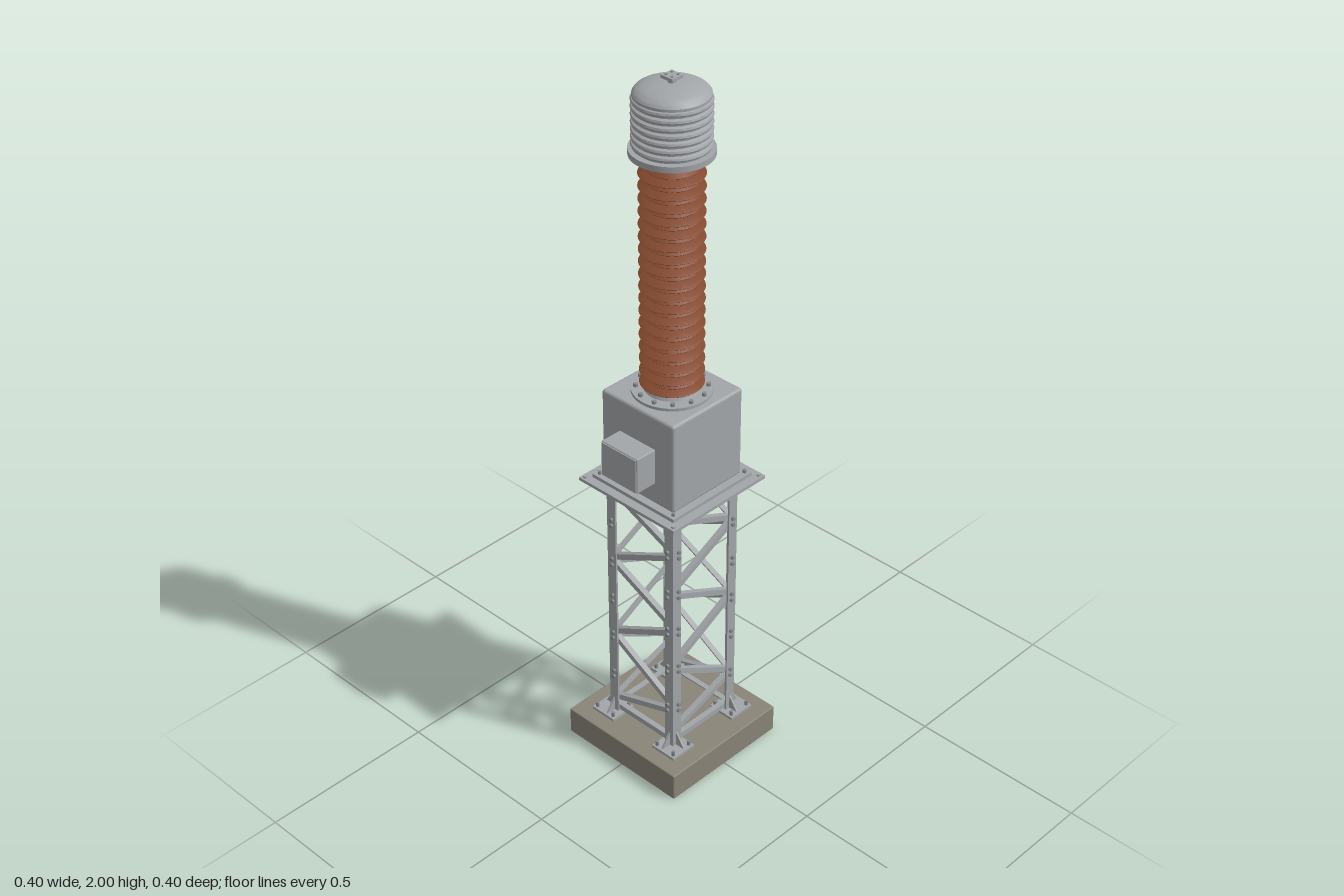
import * as THREE from 'three';
import { RoundedBoxGeometry } from 'three/addons/geometries/RoundedBoxGeometry.js';
import { toCreasedNormals } from 'three/addons/utils/BufferGeometryUtils.js';

const mat = (name, color) => Object.assign(new THREE.MeshStandardMaterial({ color }), { name });

export function createModel() {
  const steel = mat('galvanised steel', 0xa3a6a9);
  const boltSteel = mat('bolt steel', 0x85898c);
  const concrete = mat('concrete', 0x8a8478);
  const porcelain = mat('brown porcelain', 0x84492f);
  const model = new THREE.Group();
  model.name = 'instrumentTransformer';

  const group = (name) => {
    const g = new THREE.Group();
    g.name = name;
    model.add(g);
    return g;
  };
  const add = (parent, name, geo, m, x = 0, y = 0, z = 0) => {
    const mesh = new THREE.Mesh(geo, m);
    mesh.name = name;
    mesh.position.set(x, y, z);
    parent.add(mesh);
    return mesh;
  };
  const box = (p, name, w, h, d, m, x, y, z) => add(p, name, new THREE.BoxGeometry(w, h, d), m, x, y, z);
  const cyl = (p, name, r, h, m, x, y, z, n = 32) => add(p, name, new THREE.CylinderGeometry(r, r, h, n), m, x, y, z);
  const lathe = (p, name, pts, m) => add(p, name,
    toCreasedNormals(new THREE.LatheGeometry(pts.map(([r, y]) => new THREE.Vector2(r, y)), 48), 0.6), m);
  const corners = [[1, 1], [1, -1], [-1, 1], [-1, -1]];

  // Concrete foundation
  add(model, 'foundation', new RoundedBoxGeometry(0.4, 0.08, 0.4, 1, 0.003), concrete, 0, 0.04, 0);

  // Four angle-section legs with base plates, stiffeners and anchor bolts
  const s = new THREE.Shape();
  [[0, 0], [-0.03, 0], [-0.03, -0.005], [-0.005, -0.005], [-0.005, -0.03], [0, -0.03]]
    .forEach(([x, y], i) => (i ? s.lineTo(x, y) : s.moveTo(x, y)));
  const legGeo = new THREE.ExtrudeGeometry(s, { depth: 0.767, bevelEnabled: false });
  legGeo.rotateX(-Math.PI / 2);
  const rib = new THREE.Shape([new THREE.Vector2(0, 0), new THREE.Vector2(0.028, 0), new THREE.Vector2(0, 0.042)]);
  const ribGeo = new THREE.ExtrudeGeometry(rib, { depth: 0.005, bevelEnabled: false });
  const nodes = [0.825, 0.735, 0.715, 0.61, 0.59, 0.49, 0.47, 0.36, 0.34, 0.22, 0.2, 0.13];
  const turns = [[1, -1], [-1, -1], [-1, 1], [1, 1]];
  turns.forEach(([sx, sz], i) => {
    const leg = group('leg' + (i + 1));
    leg.rotation.y = Math.atan2(-sz, sx) - Math.PI / 4;
    // Local corner lies at +x, -z before the quarter turn
    add(leg, 'legAngle', legGeo, steel, 0.12, 0.088, -0.12);
    box(leg, 'basePlate', 0.08, 0.008, 0.08, steel, 0.115, 0.084, -0.115);
    add(leg, 'stiffenerX', ribGeo, steel, 0.12, 0.088, -0.108);
    const side = add(leg, 'stiffenerZ', ribGeo, steel, 0.103, 0.088, -0.12);
    side.rotation.y = Math.PI / 2;
    for (const [dx, dz] of corners) {
      cyl(leg, 'anchorBolt', 0.005, 0.016, boltSteel, 0.115 + dx * 0.03, 0.094, -0.115 + dz * 0.03, 6);
    }
    for (const y of [0.815, 0.737, 0.718, 0.61, 0.59, 0.488, 0.468, 0.362, 0.342, 0.228, 0.208]) {
      cyl(leg, 'boltX', 0.0055, 0.007, boltSteel, 0.1235, y, -0.102, 6).rotation.z = Math.PI / 2;
      cyl(leg, 'boltZ', 0.0055, 0.007, boltSteel, 0.102, y, -0.1235, 6).rotation.x = Math.PI / 2;
    }
  });

  // Zigzag bracing, same slope on opposite faces
  const lattice = group('bracing');
  const bar = (name, a, b, alongX, off) => {
    const p = ([u, y]) => (alongX ? new THREE.Vector3(u, y, off) : new THREE.Vector3(off, y, -u));
    const A = p(a), B = p(b);
    const holder = new THREE.Group();
    holder.name = name;
    holder.position.copy(A).add(B).multiplyScalar(0.5);
    holder.lookAt(B);
    // Flat leg and inward leg of the angle bar
    const L = A.distanceTo(B);
    box(holder, 'flange', 0.004, 0.016, L, steel, 0, 0, 0);
    const inward = (off > 0 ? 1 : -1) * (alongX ? 1 : -1);
    const local = new THREE.Vector3(alongX ? 0 : -Math.sign(off), 0, alongX ? -Math.sign(off) : 0)
      .applyQuaternion(holder.quaternion.clone().invert());
    box(holder, inward > 0 ? 'webA' : 'webB', 0.014, 0.004, L, steel, Math.sign(local.x) * 0.007, 0.006, 0);
    lattice.add(holder);
  };
  for (const alongX of [true, false]) {
    for (const off of [0.112, -0.112]) {
      for (let i = 0; i < nodes.length; i += 2) {
        const e = i % 4 ? 0.105 : -0.105;
        bar('diagonal', [e, nodes[i]], [-e, nodes[i + 1]], alongX, off);
      }
      bar('bottomRail', [-0.105, 0.1], [0.105, 0.1], alongX, off);
      bar('topRail', [-0.105, 0.846], [0.105, 0.846], alongX, off);
    }
  }

  // Mounting plates with corner bolts
  const deck = group('mountingDeck');
  box(deck, 'supportPlate', 0.34, 0.009, 0.34, steel, 0, 0.8595, 0);
  box(deck, 'tankFlange', 0.29, 0.01, 0.29, steel, 0, 0.869, 0);
  for (const [x, z] of corners) {
    cyl(deck, 'outerBolt', 0.006, 0.005, steel, x * 0.158, 0.8665, z * 0.158, 12);
    cyl(deck, 'flangeBolt', 0.005, 0.01, boltSteel, x * 0.132, 0.878, z * 0.132, 6);
  }

  // Tank, terminal box and drain valve
  const tank = group('tank');
  add(tank, 'tankBody', new RoundedBoxGeometry(0.252, 0.262, 0.252, 2, 0.008), steel, 0, 1.003, 0);
  add(tank, 'terminalBox', new RoundedBoxGeometry(0.126, 0.104, 0.066, 1, 0.003), steel, 0, 0.987, 0.157);
  box(tank, 'terminalBoxCover', 0.12, 0.098, 0.004, steel, 0, 0.987, 0.191);
  cyl(tank, 'cableGland', 0.009, 0.022, boltSteel, 0, 0.926, 0.16, 12);
  cyl(tank, 'valveBase', 0.008, 0.016, steel, -0.134, 0.915, 0, 12).rotation.z = Math.PI / 2;
  cyl(tank, 'valveStem', 0.004, 0.03, steel, -0.147, 0.915, 0, 10).rotation.z = Math.PI / 2;
  box(tank, 'valveHandle', 0.012, 0.034, 0.007, boltSteel, -0.151, 0.915, 0);

  // Lower flange and bolt ring
  const lower = group('lowerFlange');
  lathe(lower, 'flangeRing', [[0, 1.13], [0.105, 1.13], [0.105, 1.142], [0.073, 1.142], [0.066, 1.158], [0, 1.158]], steel);
  for (let i = 0; i < 12; i++) {
    const a = (i + 0.5) * Math.PI / 6;
    cyl(lower, 'flangeBolt', 0.006, 0.009, boltSteel, Math.cos(a) * 0.092, 1.146, Math.sin(a) * 0.092, 6);
  }

  // Porcelain insulator with alternating large and small sheds
  const profile = [[0.056, 1.15]];
  const count = 36, pitch = 0.62 / count;
  for (let i = 0; i < count; i++) {
    const y = 1.156 + i * pitch, r = i % 2 ? 0.07 : 0.083;
    profile.push([0.056, y], [r - 0.002, y + 0.002], [r, y + 0.004], [r - 0.003, y + 0.006], [0.056, y + 0.013]);
  }
  profile.push([0.056, 1.785]);
  lathe(model, 'insulator', profile, porcelain);

  // Head: upper flange, ribbed expansion housing and dome
  const head = group('head');
  lathe(head, 'upperFlange', [[0, 1.776], [0.064, 1.776], [0.07, 1.797], [0.106, 1.797], [0.106, 1.813], [0, 1.813]], steel);
  for (let i = 0; i < 12; i++) {
    const a = (i + 0.5) * Math.PI / 6;
    cyl(head, 'flangeBolt', 0.005, 0.008, boltSteel, Math.cos(a) * 0.09, 1.794, Math.sin(a) * 0.09, 6);
  }
  const bellows = [[0.09, 1.812]];
  for (let i = 0; i < 7; i++) {
    const y = 1.816 + i * 0.0192;
    bellows.push([0.09, y], [0.097, y + 0.003], [0.099, y + 0.008], [0.097, y + 0.013], [0.09, y + 0.016]);
  }
  bellows.push([0.09, 1.952]);
  lathe(head, 'bellows', bellows, steel);
  const dome = [[0.09, 1.946], [0.095, 1.947], [0.095, 1.954]];
  for (let i = 1; i <= 10; i++) {
    const a = (i / 10) * Math.PI / 2;
    dome.push([0.093 * Math.cos(a), 1.954 + 0.026 * Math.sin(a)]);
  }
  lathe(head, 'dome', dome, steel);

  // Top terminal pad
  cyl(head, 'terminalPost', 0.01, 0.02, steel, 0, 1.983, 0, 16);
  box(head, 'terminalPad', 0.038, 0.008, 0.038, steel, 0, 1.994, 0);
  for (const [x, z] of corners) cyl(head, 'padHole', 0.0035, 0.002, boltSteel, x * 0.01, 1.999, z * 0.01, 12);

  return model;
}
